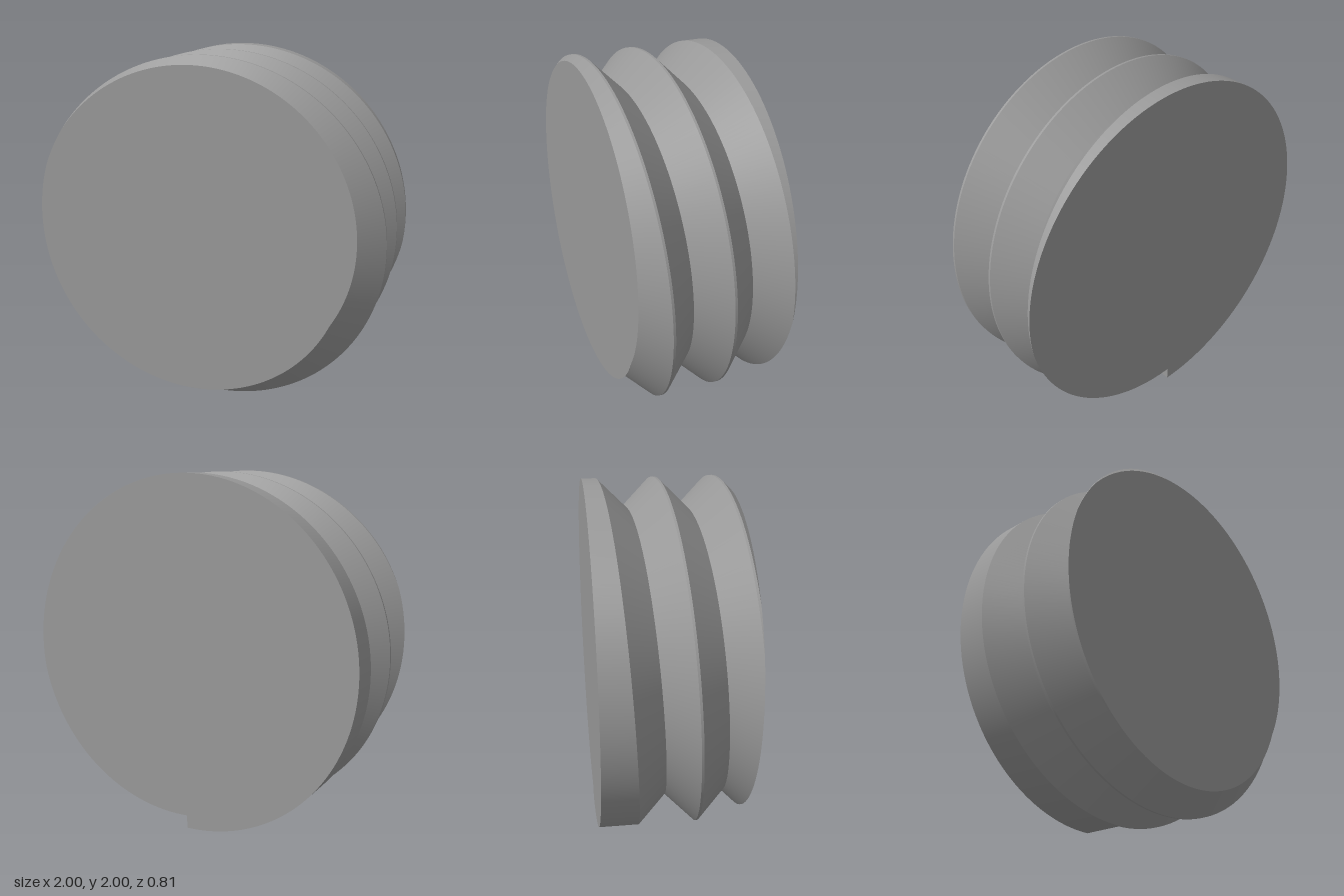
import * as THREE from 'three';
import { mergeGeometries } from 'three/addons/utils/BufferGeometryUtils.js';

const H = 0.403;       // half width of the disc
const R = 1;           // crest radius
const DEPTH = 0.16;    // groove depth
const PITCH = 0.332;   // advance per turn
const FLAT = 0.013;    // width of the flat crest
const START = -0.152;  // crest position where the groove begins, at the bottom
const SEG = 240;

// helical position of the last crest after s turns from the bottom
const crestZ = (s) => START - PITCH * s;

// radius of the threaded surface; uncut behind the last crest
function radiusAt(s, z) {
  const d = z - crestZ(s);
  if (d <= 0) return R;
  const m = d % PITCH;
  const away = Math.min(m, PITCH - m);
  return R - DEPTH * Math.max(0, (away - FLAT / 2) / (PITCH / 2 - FLAT / 2));
}

function pointAt(s, z) {
  const a = s * Math.PI * 2, r = radiusAt(s, z);
  return [-r * Math.sin(a), 1 - r * Math.cos(a), z];
}

function makeGeometry(positions, index) {
  const g = new THREE.BufferGeometry();
  g.setAttribute('position', new THREE.Float32BufferAttribute(positions, 3));
  g.setIndex(index);
  g.computeVertexNormals();
  return g;
}

// one smooth helical band between two offsets from the last crest
function band(from, to) {
  const clamp = (z) => Math.min(H, Math.max(-H, z));
  const pos = [], index = [];
  let prev = 0;
  for (let i = 0; i <= SEG; i++) {
    const s = i / SEG;
    const z0 = clamp(crestZ(s) + from), z1 = clamp(crestZ(s) + to);
    pos.push(...pointAt(s, z0), ...pointAt(s, z1));
    const k = 2 * i;
    if (i > 0 && prev + (z1 - z0) > 1e-6) {
      index.push(k - 2, k - 1, k, k, k - 1, k + 1);
    }
    prev = z1 - z0;
  }
  return makeGeometry(pos, index);
}

// flat end face following the cut outline
function endCap(z, front) {
  const pos = [0, 1, z], index = [];
  for (let i = 0; i <= SEG; i++) {
    pos.push(...pointAt(i / SEG, z));
    if (i > 0) index.push(0, front ? i + 1 : i, front ? i : i + 1);
  }
  return makeGeometry(pos, index);
}

export function createModel() {
  const group = new THREE.Group();
  group.name = 'threadedDisc';
  const grey = new THREE.MeshStandardMaterial({ color: 0x999999 });
  grey.name = 'grey';
  const add = (name, geometry) => {
    const mesh = new THREE.Mesh(geometry, grey);
    mesh.name = name;
    group.add(mesh);
  };

  // uncut rim, then flank, flank and crest for each turn
  const bands = [band(-1, FLAT / 2)];
  for (let k = 0; k < 3; k++) {
    const c = k * PITCH, next = c + PITCH;
    bands.push(band(c + FLAT / 2, c + PITCH / 2));
    bands.push(band(c + PITCH / 2, next - FLAT / 2));
    bands.push(band(next - FLAT / 2, next + FLAT / 2));
  }
  add('thread', mergeGeometries(bands));

  add('frontFace', endCap(H, true));
  add('backFace', endCap(-H, false));

  // step where the groove begins
  const root = START - PITCH / 2;
  add('grooveStart', makeGeometry([
    0, 1 - R, START - FLAT / 2,
    0, 1 - R, -H,
    0, 1 - radiusAt(1, -H), -H,
    0, 1 - R + DEPTH, root,
  ], [0, 1, 2, 0, 2, 3]));

  return group;
}
